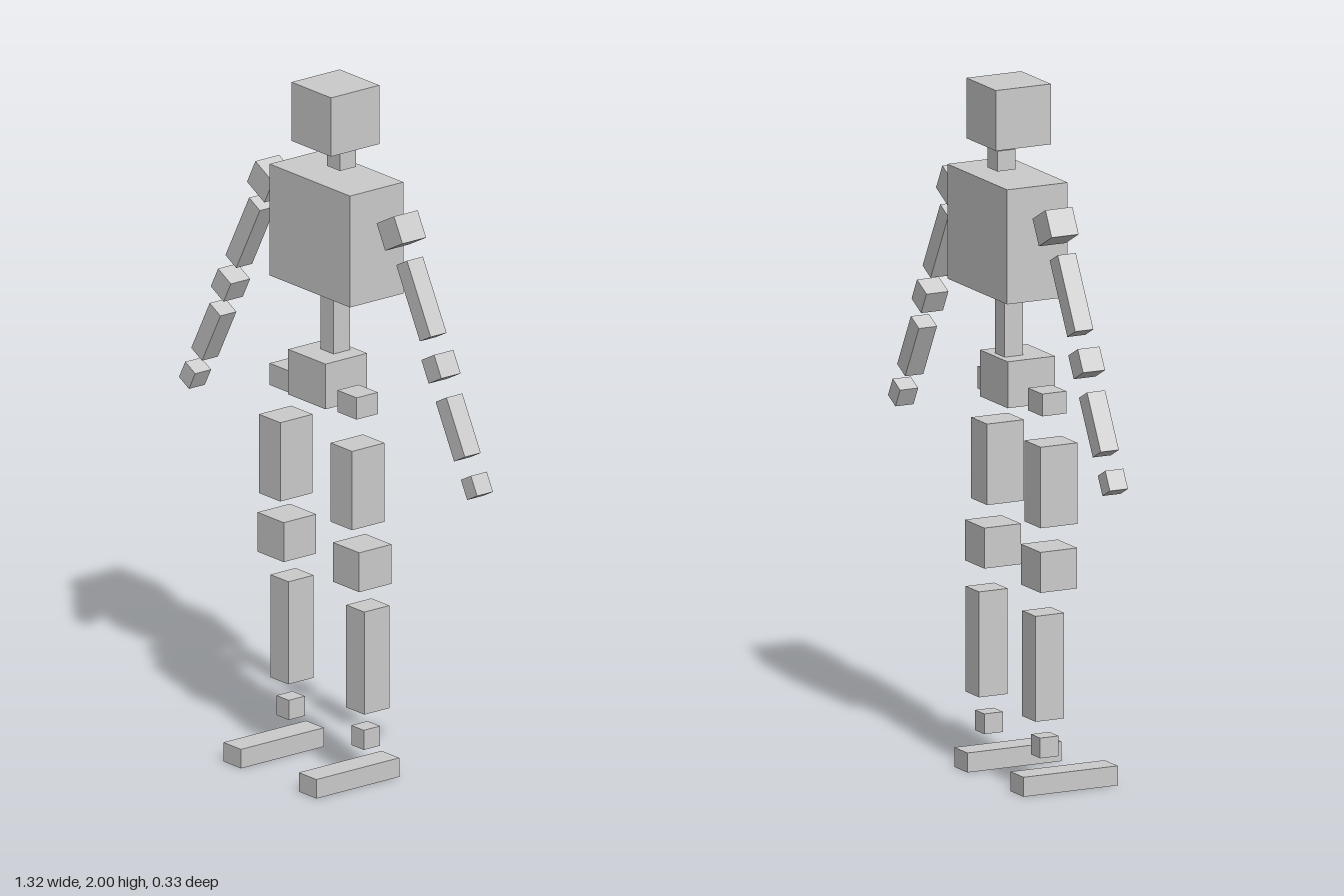
import * as THREE from 'three';

const material = new THREE.MeshStandardMaterial({ color: 0xcccccc, flatShading: true });

// One block: size and centre, with an optional tilt about z
function block(parent, name, [w, h, d], [x, y, z], tilt = 0) {
  const mesh = new THREE.Mesh(new THREE.BoxGeometry(w, h, d), material);
  mesh.name = name;
  mesh.position.set(x, y, z);
  mesh.rotation.z = tilt;
  parent.add(mesh);
}

export function createModel() {
  const model = new THREE.Group();
  model.name = 'blockFigure';

  // Head and trunk
  block(model, 'head', [0.175, 0.173, 0.173], [0, 1.9135, -0.068]);
  block(model, 'neck', [0.058, 0.058, 0.058], [0, 1.781, -0.09]);
  block(model, 'chest', [0.356, 0.328, 0.191], [0, 1.572, -0.0715]);
  block(model, 'spine', [0.058, 0.19, 0.058], [0, 1.313, -0.067]);
  block(model, 'pelvis', [0.165, 0.133, 0.149], [0, 1.1515, -0.04]);

  // Limbs: name, size, centre on the left side
  const armParts = [
    ['Shoulder', [0.087, 0.08, 0.085], [0.287, 1.643, -0.072]],
    ['UpperArm', [0.054, 0.223, 0.057], [0.378, 1.466, -0.07]],
    ['Elbow', [0.064, 0.069, 0.069], [0.466, 1.29, -0.069]],
    ['Forearm', [0.054, 0.174, 0.057], [0.541, 1.131, -0.07]],
    ['Hand', [0.05, 0.059, 0.057], [0.624, 0.981, -0.07]],
  ];
  const legParts = [
    ['Hip', [0.085, 0.064, 0.076], [0.15, 1.111, -0.026]],
    ['Thigh', [0.095, 0.232, 0.116], [0.159, 0.879, -0.0185]],
    ['Knee', [0.116, 0.116, 0.116], [0.167, 0.641, -0.029]],
    ['Shin', [0.08, 0.302, 0.09], [0.168, 0.362, -0.048]],
    ['Ankle', [0.055, 0.058, 0.058], [0.166, 0.13, -0.042]],
    ['Foot', [0.078, 0.056, 0.297], [0.167, 0.028, 0.0185]],
  ];
  const armTilt = THREE.MathUtils.degToRad(28);

  for (const [side, s] of [['left', 1], ['right', -1]]) {
    for (const [limb, parts, tilt] of [['Arm', armParts, armTilt], ['Leg', legParts, 0]]) {
      const group = new THREE.Group();
      group.name = side + limb;
      for (const [name, size, [x, y, z]] of parts) {
        block(group, side + name, size, [s * x, y, z], s * tilt);
      }
      model.add(group);
    }
  }
  return model;
}
